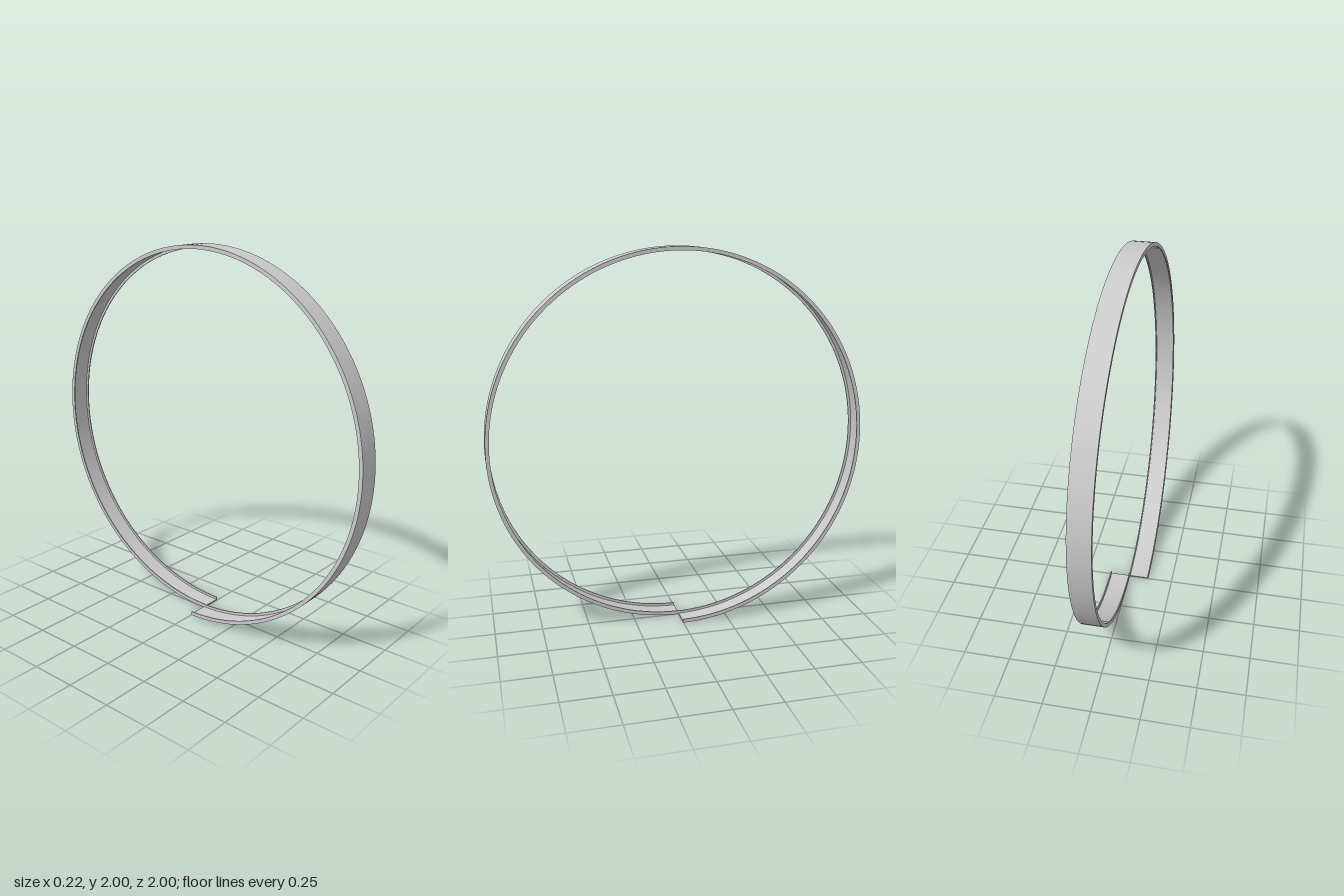
import * as THREE from 'three';
import { toCreasedNormals } from 'three/addons/utils/BufferGeometryUtils.js';

const R = 1, PITCH = 0.111, HALF = 0.057, LIP = 0.02, WALL = 0.006, STEPS = 160;

// Channel section: [x across the band, depth inward from the outer radius]
const section = [
  [-HALF, 0], [HALF, 0], [HALF, LIP], [HALF - WALL, LIP],
  [HALF - WALL, WALL], [-HALF + WALL, WALL], [-HALF + WALL, LIP], [-HALF, LIP],
];

// Sweeps the section through one helical turn, starting and ending at the bottom
function helicalChannel() {
  const pos = [], idx = [], n = section.length;
  for (let i = 0; i <= STEPS; i++) {
    const u = i / STEPS, t = u * Math.PI * 2;
    for (const [x, d] of section) {
      const r = R - d;
      pos.push(x + PITCH * (u - 0.5), 1 - r * Math.cos(t), r * Math.sin(t));
    }
  }
  for (let i = 0; i < STEPS; i++) {
    for (let j = 0; j < n; j++) {
      const a = i * n + j, b = i * n + (j + 1) % n;
      idx.push(a, b, b + n, a, b + n, a + n);
    }
  }
  // End caps
  const faces = THREE.ShapeUtils.triangulateShape(section.map(p => new THREE.Vector2(...p)), []);
  const last = STEPS * n;
  for (const [a, b, c] of faces) {
    idx.push(a, c, b, last + a, last + b, last + c);
  }
  const g = new THREE.BufferGeometry();
  g.setAttribute('position', new THREE.Float32BufferAttribute(pos, 3));
  g.setIndex(idx);
  return toCreasedNormals(g, 0.5);
}

export function createModel() {
  const group = new THREE.Group();
  group.name = 'splitRing';
  const material = new THREE.MeshStandardMaterial({ color: 0xcccccc, side: THREE.DoubleSide });
  const band = new THREE.Mesh(helicalChannel(), material);
  band.name = 'helicalChannelBand';
  group.add(band);
  return group;
}
